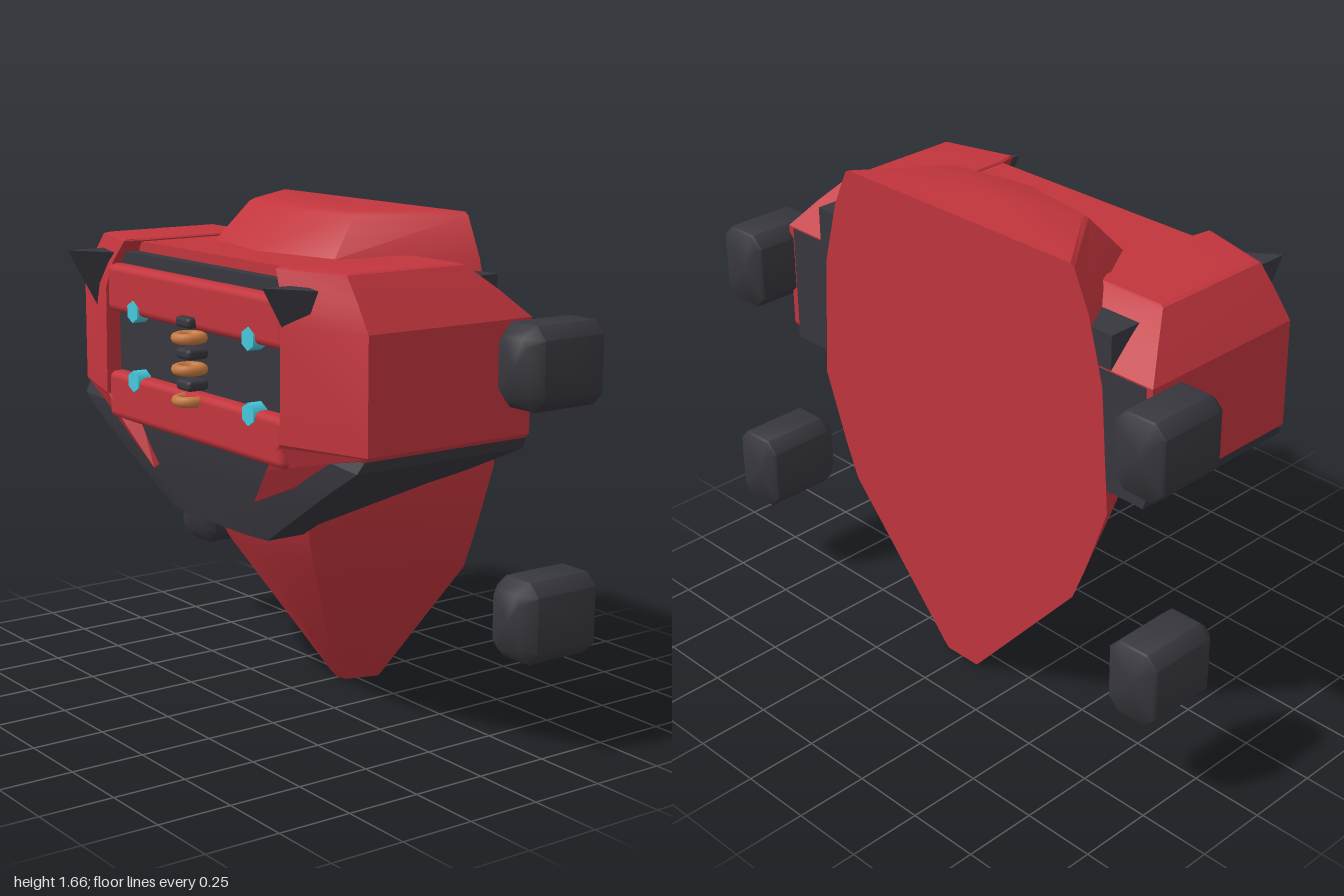
import * as THREE from 'three';
import { toCreasedNormals } from 'three/addons/utils/BufferGeometryUtils.js';
import { RoundedBoxGeometry } from 'three/addons/geometries/RoundedBoxGeometry.js';
import { ConvexGeometry } from 'three/addons/geometries/ConvexGeometry.js';

// Solid through matching rings of [x, y, z]; winding is fixed by signed volume,
// and edges sharper than the crease angle stay hard
function loft(rings, crease = 0.3) {
  const V = (p) => new THREE.Vector3(...p);
  const n = rings[0].length;
  const tris = [];
  for (let i = 0; i + 1 < rings.length; i++) {
    for (let j = 0; j < n; j++) {
      const k = (j + 1) % n;
      const a = V(rings[i][j]), b = V(rings[i][k]), c = V(rings[i + 1][k]), d = V(rings[i + 1][j]);
      tris.push([a, b, c], [a, c, d]);
    }
  }
  const cap = (ring, flip) => {
    const mid = new THREE.Vector3();
    ring.forEach((p) => mid.add(V(p)));
    mid.divideScalar(n);
    for (let j = 0; j < n; j++) {
      const a = V(ring[j]), b = V(ring[(j + 1) % n]);
      tris.push(flip ? [mid, b, a] : [mid, a, b]);
    }
  };
  cap(rings[0], true);
  cap(rings[rings.length - 1], false);
  let volume = 0;
  for (const [a, b, c] of tris) volume += a.dot(b.clone().cross(c));
  const pts = tris.flatMap(([a, b, c]) => (volume < 0 ? [a, c, b] : [a, b, c]));
  return toCreasedNormals(new THREE.BufferGeometry().setFromPoints(pts), crease);
}

export function createModel() {
  const model = new THREE.Group();
  const mat = (name, color) => {
    const m = new THREE.MeshStandardMaterial({ color });
    m.name = name;
    return m;
  };
  const red = mat('red armour', 0xc2353d);
  const dark = mat('dark metal', 0x37373e);
  const copper = mat('copper', 0xc67840);
  const cyan = mat('cyan', 0x45c8dc);

  const add = (name, geo, material, x = 0, y = 0, z = 0) => {
    const m = new THREE.Mesh(geo, material);
    m.name = name;
    m.position.set(x, y, z);
    model.add(m);
    return m;
  };
  const box = (name, material, w, h, d, x, y, z) =>
    add(name, new THREE.BoxGeometry(w, h, d), material, x, y, z);

  // Tapered shield hull with a flat back: [y, half width, ridge half width, front z, ridge setback]
  const hullRows = [
    [0, 0.07, 0.035, -0.2, 0.01], [0.015, 0.085, 0.045, -0.185, 0.015],
    [0.5, 0.52, 0.25, 0.145, 0.06], [0.62, 0.57, 0.29, 0.205, 0.07],
    [0.87, 0.66, 0.37, 0.28, 0.07], [1.3, 0.63, 0.37, 0.27, 0.07],
    [1.52, 0.57, 0.34, 0.145, 0.07], [1.65, 0.51, 0.295, 0.015, 0.05],
    [1.66, 0.495, 0.285, 0, 0.05],
  ];
  const back = -0.324;
  add('hull', loft(hullRows.map(([y, w, m, z, s]) => [
    [-w, y, back], [-m, y, z - s], [0, y, z], [m, y, z - s], [w, y, back],
  ]), 0.6), red);

  // Dark jaw, narrowing downwards: [y, half width, back z, side front z, inner half width, front z]
  const jawRows = [
    [0.985, 0.81, -0.32, 0.31, 0.5, 0.35], [0.95, 0.8, -0.32, 0.33, 0.47, 0.35],
    [0.87, 0.67, -0.2, 0.33, 0.39, 0.345], [0.83, 0.605, -0.1, 0.325, 0.35, 0.34],
    [0.68, 0.361, 0.15, 0.3, 0.2, 0.315], [0.63, 0.28, 0.15, 0.29, 0.17, 0.305],
  ];
  add('jaw', loft(jawRows.map(([y, w, b, s, i, f]) => [
    [-w, y, b], [-w, y, s], [-i, y, f], [i, y, f], [w, y, s], [w, y, b],
  ])), dark);

  // Centre of the torso
  box('chestCore', dark, 1.04, 0.575, 0.353, 0, 1.2, 0.1785);
  box('chestTopPanel', red, 0.9, 0.04, 0.46, 0, 1.501, 0.08);
  box('rearBrace', dark, 1.32, 0.48, 0.12, 0, 1.24, -0.26);
  box('backPlate', dark, 1.6, 0.38, 0.007, 0, 1.17, -0.3185);
  for (const y of [1.365, 0.998]) {
    add('chestBar', new RoundedBoxGeometry(1.04, 0.162, 0.12, 2, 0.025), red, 0, y, 0.342);
  }

  // Spine of alternating copper and dark rings
  for (let i = 0; i < 3; i++) {
    const y = 1.055 + i * 0.102;
    add('spineRing', new THREE.TorusGeometry(0.043, 0.018, 8, 20), copper, 0, y, 0.4).rotation.x = Math.PI / 2;
    add('spineLink', new RoundedBoxGeometry(0.084, 0.036, 0.08, 2, 0.014), dark, 0, y + 0.051, 0.39);
  }

  for (const s of [-1, 1]) {
    // Shoulder block: [y, inner x, outer x, back z, side front z, front inner x, front z]
    const shoulderRows = [
      [0.975, 0.5, 0.8, -0.31, 0.3, 0.5, 0.395], [1.0, 0.51, 0.825, -0.32, 0.31, 0.515, 0.408],
      [1.365, 0.51, 0.825, -0.32, 0.31, 0.515, 0.405], [1.45, 0.49, 0.765, -0.235, 0.305, 0.495, 0.39],
      [1.525, 0.43, 0.705, -0.15, 0.3, 0.445, 0.372], [1.53, 0.435, 0.69, -0.14, 0.28, 0.445, 0.36],
    ];
    add('shoulder', loft(shoulderRows.map(([y, i, o, b, f, c, z]) => [
      [s * i, y, b], [s * o, y, b], [s * o, y, f], [s * c, y, z], [s * i, y, z - 0.06],
    ])), red);

    // Pointed red prong lying over the jaw
    add('jawProng', new ConvexGeometry([
      [0.815, 0.995, 0.31], [0.51, 1.0, 0.406], [0.42, 0.9, 0.392], [0.3, 0.77, 0.356],
      [0.8, 0.98, 0.3], [0.42, 0.95, 0.34], [0.42, 0.9, 0.335], [0.31, 0.78, 0.32],
    ].map(([x, y, z]) => new THREE.Vector3(s * x, y, z))), red);

    // Hexagonal studs on the bars
    for (const y of [1.3, 1.065]) {
      add('stud', new THREE.CylinderGeometry(0.037, 0.037, 0.05, 6), cyan, s * 0.342, y, 0.382).rotation.x = Math.PI / 2;
    }

    // Four pods with chamfered corners: [z, half width, half height, corner cut]
    const podRows = [
      [-0.465, 0.088, 0.126, 0.037], [-0.457, 0.097, 0.132, 0.04],
      [-0.22, 0.097, 0.132, 0.04], [-0.177, 0.065, 0.095, 0.025],
    ];
    for (const y of [1.23, 0.433]) {
      add('pod', loft(podRows.map(([z, w, h, c]) => [
        [w, c - h, z], [w, h - c, z], [w - c, h, z], [c - w, h, z],
        [-w, h - c, z], [-w, c - h, z], [c - w, -h, z], [w - c, -h, z],
      ]), 0.95), dark, s * 0.903, y, 0);
    }
  }

  // Two identical horns, both with the upright edge on the same side
  const hornPoints = [[0, 0.21, 0], [0, 0.21, 0.14], [0.145, 0.21, 0.04], [0.01, 0, 0.025]];
  for (const x of [-0.66, 0.515]) {
    add('horn', new ConvexGeometry(hornPoints.map((p) => new THREE.Vector3(...p))), dark, x, 1.27, 0.33);
  }
  return model;
}
